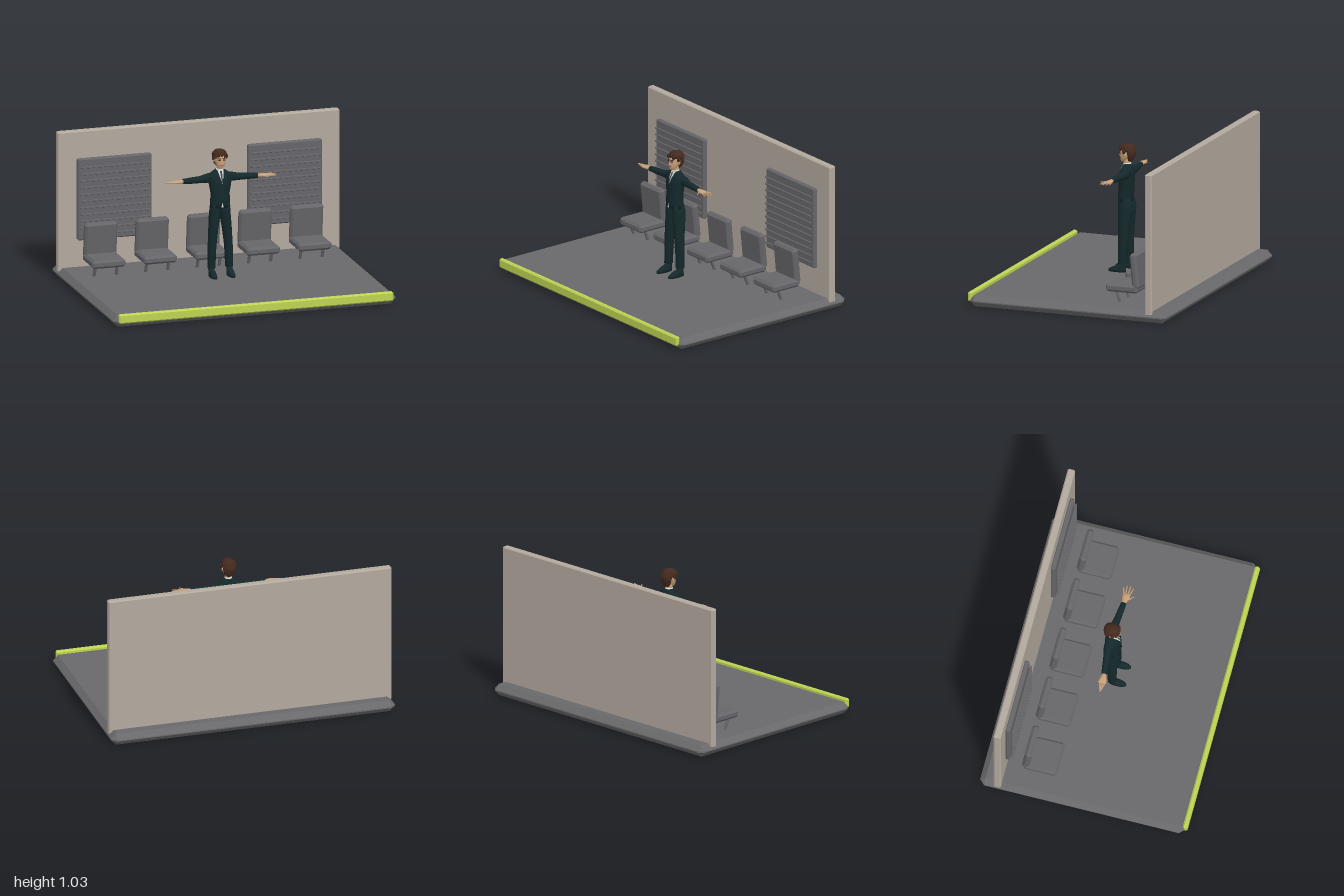
import * as THREE from 'three';
import { ConvexGeometry } from 'three/addons/geometries/ConvexGeometry.js';

const mat = (name, color, extra = {}) => new THREE.MeshStandardMaterial({ name, color, ...extra });

export function createModel() {
  const M = {
    floor: mat('floor grey', 0x69696b),
    chair: mat('chair grey', 0x66666a),
    wall: mat('wall beige', 0xb3a99e),
    edge: mat('safety yellow', 0xbdd352),
    suit: mat('suit dark teal', 0x14282b),
    hair: mat('hair brown', 0x44291e),
    skin: mat('skin', 0xc99f78),
    shirt: mat('shirt white', 0xd8d8d4, { side: THREE.DoubleSide }),
    tie: mat('tie slate', 0x3a4448, { side: THREE.DoubleSide }),
    dark: mat('eye dark', 0x1c1614),
  };
  const model = new THREE.Group();

  const add = (parent, name, geometry, material) => {
    const mesh = new THREE.Mesh(geometry, material);
    mesh.name = name;
    parent.add(mesh);
    return mesh;
  };

  const group = (parent, name) => {
    const g = new THREE.Group();
    g.name = name;
    parent.add(g);
    return g;
  };

  // Box with chamfered edges, given by its limits
  const block = (parent, name, [x0, x1], [y0, y1], [z0, z1], bevel, material) => {
    const h = [(x1 - x0) / 2, (y1 - y0) / 2, (z1 - z0) / 2];
    const points = [];
    for (const sx of [-1, 1]) for (const sy of [-1, 1]) for (const sz of [-1, 1]) {
      for (let full = 0; full < 3; full++) {
        const [a, b, c] = h.map((v, i) => (i === full ? v : v - bevel));
        points.push(new THREE.Vector3(sx * a, sy * b, sz * c));
      }
    }
    const mesh = add(parent, name, new ConvexGeometry(points), material);
    mesh.position.set((x0 + x1) / 2, (y0 + y1) / 2, (z0 + z1) / 2);
    return mesh;
  };

  // Smooth closed skin through elliptical sections [y, cx, cz, rx, rz]
  const loft = (sections, n = 16) => {
    const pos = [], index = [];
    for (const [y, cx, cz, rx, rz] of sections) {
      for (let j = 0; j < n; j++) {
        const a = (j / n) * Math.PI * 2;
        pos.push(cx + Math.cos(a) * rx, y, cz + Math.sin(a) * rz);
      }
    }
    const last = sections.length - 1, bottom = pos.length / 3, top = bottom + 1;
    for (const k of [0, last]) pos.push(sections[k][1], sections[k][0], sections[k][2]);
    for (let j = 0; j < n; j++) {
      const k = (j + 1) % n;
      for (let i = 0; i < last; i++) {
        const a = i * n + j, b = a + n, c = i * n + k, d = c + n;
        index.push(a, b, c, c, b, d);
      }
      index.push(bottom, j, k, top, last * n + k, last * n + j);
    }
    const g = new THREE.BufferGeometry();
    g.setAttribute('position', new THREE.Float32BufferAttribute(pos, 3));
    g.setIndex(index);
    g.computeVertexNormals();
    return g;
  };

  // Platform, wall and edge strip
  block(model, 'floor', [-1, 1], [0, 0.08], [-0.72, 0.71], 0.036, M.floor);
  block(model, 'wall', [-0.997, 0.997], [0.05, 1.03], [-0.62, -0.569], 0.008, M.wall);
  block(model, 'safetyEdge', [-0.97, 0.97], [0.03, 0.095], [0.692, 0.726], 0.009, M.edge);

  // Slatted window panels
  for (const x of [-0.603, 0.6]) {
    const panel = group(model, 'blind');
    block(panel, 'blindPanel', [x - 0.262, x + 0.262], [0.27, 0.84], [-0.572, -0.537], 0.008, M.chair);
    for (let i = 0; i < 11; i++) {
      const y = 0.313 + i * 0.047;
      block(panel, 'slat', [x - 0.25, x + 0.25], [y - 0.006, y + 0.006], [-0.529, -0.518], 0.002, M.chair);
    }
  }

  // Row of chairs
  for (let i = 0; i < 5; i++) {
    const chair = group(model, 'chair');
    chair.position.x = -0.743 + i * 0.364;
    block(chair, 'seat', [-0.118, 0.118], [0.152, 0.208], [-0.45, -0.218], 0.015, M.chair);
    const back = block(chair, 'backrest', [-0.115, 0.115], [0.18, 0.425], [-0.45, -0.399], 0.015, M.chair);
    back.rotation.x = 0.1;
    for (const s of [-1, 1]) {
      const leg = block(chair, 'chairLeg', [s * 0.078 - 0.009, s * 0.078 + 0.009], [0.072, 0.165], [-0.308, -0.29], 0.003, M.chair);
      leg.rotation.x = -0.36 + 0.72;
    }
  }

  // Standing figure with arms out
  const person = group(model, 'person');
  person.position.x = -0.018;
  const torso = [
    [0.575, 0, -0.033, 0.07, 0.049], [0.61, 0, -0.035, 0.069, 0.052],
    [0.67, 0, -0.037, 0.066, 0.052], [0.74, 0, -0.04, 0.079, 0.052],
    [0.785, 0, -0.045, 0.084, 0.047], [0.808, 0, -0.05, 0.07, 0.038],
    [0.826, 0, -0.05, 0.04, 0.03], [0.834, 0, -0.05, 0.027, 0.026],
  ];
  add(person, 'jacket', loft(torso, 20), M.suit);

  // Depth of the jacket front at a point
  const frontZ = (x, y) => {
    let i = 0;
    while (i < torso.length - 2 && torso[i + 1][0] < y) i++;
    const a = torso[i], b = torso[i + 1];
    const t = THREE.MathUtils.clamp((y - a[0]) / (b[0] - a[0]), 0, 1);
    const [, , cz, rx, rz] = a.map((v, k) => v + (b[k] - v) * t);
    return cz + rz * Math.sqrt(Math.max(0, 1 - (x / rx) ** 2));
  };

  // Thin patch lying on the jacket front: two rows [y, xLeft, xRight]
  const patch = (name, [y1, a1, b1], [y0, a0, b0], lift, material) => {
    const g = new THREE.PlaneGeometry(1, 1, 4, 8);
    const p = g.attributes.position;
    for (let i = 0; i < p.count; i++) {
      const u = p.getX(i) + 0.5, v = p.getY(i) + 0.5;
      const x = THREE.MathUtils.lerp(a0 + (b0 - a0) * u, a1 + (b1 - a1) * u, v);
      const y = y0 + (y1 - y0) * v;
      p.setXYZ(i, x, y, frontZ(x, y) + lift);
    }
    g.computeVertexNormals();
    add(person, name, g, material);
  };
  patch('shirtFront', [0.832, -0.022, 0.022], [0.745, -0.001, 0.001], 0.003, M.shirt);
  patch('tie', [0.826, -0.007, 0.007], [0.75, -0.004, 0.004], 0.005, M.tie);
  patch('shirtHem', [0.612, -0.001, 0.001], [0.58, -0.009, 0.009], 0.003, M.shirt);

  // Legs, shoes, arms and hands
  for (const s of [-1, 1]) {
    const side = (name, sections, material, n) =>
      add(person, name, loft(sections.map(([y, x, ...r]) => [y, s * x, ...r]), n), material);
    side('trouserLeg', [
      [0.152, 0.063, -0.032, 0.027, 0.031], [0.3, 0.058, -0.033, 0.029, 0.034],
      [0.42, 0.048, -0.037, 0.033, 0.041], [0.5, 0.039, -0.042, 0.037, 0.048],
      [0.54, 0.036, -0.043, 0.036, 0.05], [0.6, 0.034, -0.037, 0.034, 0.044],
    ], M.suit);
    side('shoe', [
      [0.095, 0.064, 0.004, 0.024, 0.065], [0.11, 0.064, 0.003, 0.025, 0.064],
      [0.126, 0.064, -0.008, 0.022, 0.05], [0.14, 0.064, -0.03, 0.02, 0.029],
      [0.165, 0.063, -0.034, 0.018, 0.02],
    ], M.suit);

    const arm = group(person, 'arm');
    arm.position.y = 0.77;
    const limb = (name, sections, material, n = 12) =>
      add(arm, name, loft(sections).rotateZ(-s * Math.PI / 2), material);
    limb('sleeve', [
      [0.04, -s * 0.006, -0.055, 0.036, 0.032], [0.085, -s * 0.004, -0.056, 0.032, 0.029],
      [0.14, 0, -0.048, 0.024, 0.024], [0.2, 0, -0.042, 0.022, 0.022], [0.263, 0, -0.035, 0.018, 0.019],
    ], M.suit);
    limb('hand', [
      [0.255, 0, -0.034, 0.012, 0.014], [0.28, 0, -0.033, 0.012, 0.018],
      [0.305, 0, -0.032, 0.011, 0.026], [0.33, 0, -0.032, 0.008, 0.026],
    ], M.skin);
    const finger = (name, x, z, angle, length) => {
      const g = new THREE.CylinderGeometry(0.0035, 0.0055, length, 8).translate(0, length / 2, 0);
      g.rotateZ(-Math.PI / 2).rotateY(-angle);
      if (s < 0) g.rotateZ(Math.PI).rotateX(Math.PI);
      add(arm, name, g, M.skin).position.set(s * x, 0, z);
    };
    [-0.051, -0.038, -0.025, -0.012].forEach((z, i) =>
      finger('finger', 0.322, z, (i - 1.5) * 0.17, [0.055, 0.068, 0.07, 0.06][i]));
    finger('thumb', 0.288, -0.02, 0.85, 0.055);
  }

  // Head
  const head = group(person, 'head');
  add(head, 'neck', loft([
    [0.805, 0, -0.046, 0.024, 0.025], [0.84, 0, -0.042, 0.021, 0.023], [0.875, 0, -0.042, 0.021, 0.024],
  ]), M.skin);
  add(head, 'collar', loft([
    [0.822, 0, -0.047, 0.029, 0.029], [0.84, 0, -0.044, 0.024, 0.026],
  ]), M.shirt);
  add(head, 'face', loft([
    [0.847, 0, -0.015, 0.012, 0.014], [0.858, 0, -0.022, 0.024, 0.026],
    [0.88, 0, -0.032, 0.034, 0.038], [0.91, 0, -0.038, 0.039, 0.044],
    [0.94, 0, -0.042, 0.039, 0.045], [0.958, 0, -0.045, 0.025, 0.03],
  ]), M.skin);
  const nose = add(head, 'nose', new THREE.ConeGeometry(0.008, 0.024, 6), M.skin);
  nose.position.set(0, 0.897, 0.007);
  for (const s of [-1, 1]) {
    const ear = add(head, 'ear', new THREE.SphereGeometry(0.012, 10, 8), M.skin);
    ear.scale.set(0.45, 1.2, 0.8);
    ear.position.set(s * 0.041, 0.9, -0.042);
    const eye = add(head, 'eye', new THREE.BoxGeometry(0.015, 0.006, 0.006), M.dark);
    eye.position.set(s * 0.016, 0.907, 0.001);
    eye.rotation.y = s * 0.3;
    const brow = add(head, 'eyebrow', new THREE.BoxGeometry(0.022, 0.005, 0.006), M.hair);
    brow.position.set(s * 0.017, 0.918, 0.001);
    brow.rotation.set(0, s * 0.3, s * 0.12);
  }
  const mouth = add(head, 'mouth', new THREE.BoxGeometry(0.018, 0.003, 0.004), M.hair);
  mouth.position.set(0, 0.874, 0.0035);

  // Hair: cap, back and swept locks
  add(head, 'hairBack', loft([
    [0.853, 0, -0.064, 0.018, 0.014], [0.87, 0, -0.07, 0.033, 0.021],
    [0.9, 0, -0.074, 0.043, 0.028], [0.94, 0, -0.068, 0.049, 0.037],
  ]), M.hair);
  add(head, 'hairCap', loft([
    [0.922, 0, -0.06, 0.047, 0.042], [0.934, 0, -0.05, 0.051, 0.052],
    [0.952, 0, -0.048, 0.047, 0.052], [0.966, 0, -0.046, 0.033, 0.04], [0.973, 0, -0.044, 0.014, 0.02],
  ]), M.hair);
  const locks = [[-0.035, 0.935, -0.012], [-0.016, 0.944, -0.001], [0.006, 0.946, 0], [0.027, 0.938, -0.007],
    [-0.044, 0.92, -0.035], [0.044, 0.92, -0.035]];
  for (const [x, y, z] of locks) {
    const lock = add(head, 'hairLock', new THREE.SphereGeometry(0.014, 8, 6), M.hair);
    lock.scale.set(0.8, 1.25, 0.8);
    lock.rotation.z = -0.5;
    lock.position.set(x, y, z);
  }
  return model;
}
